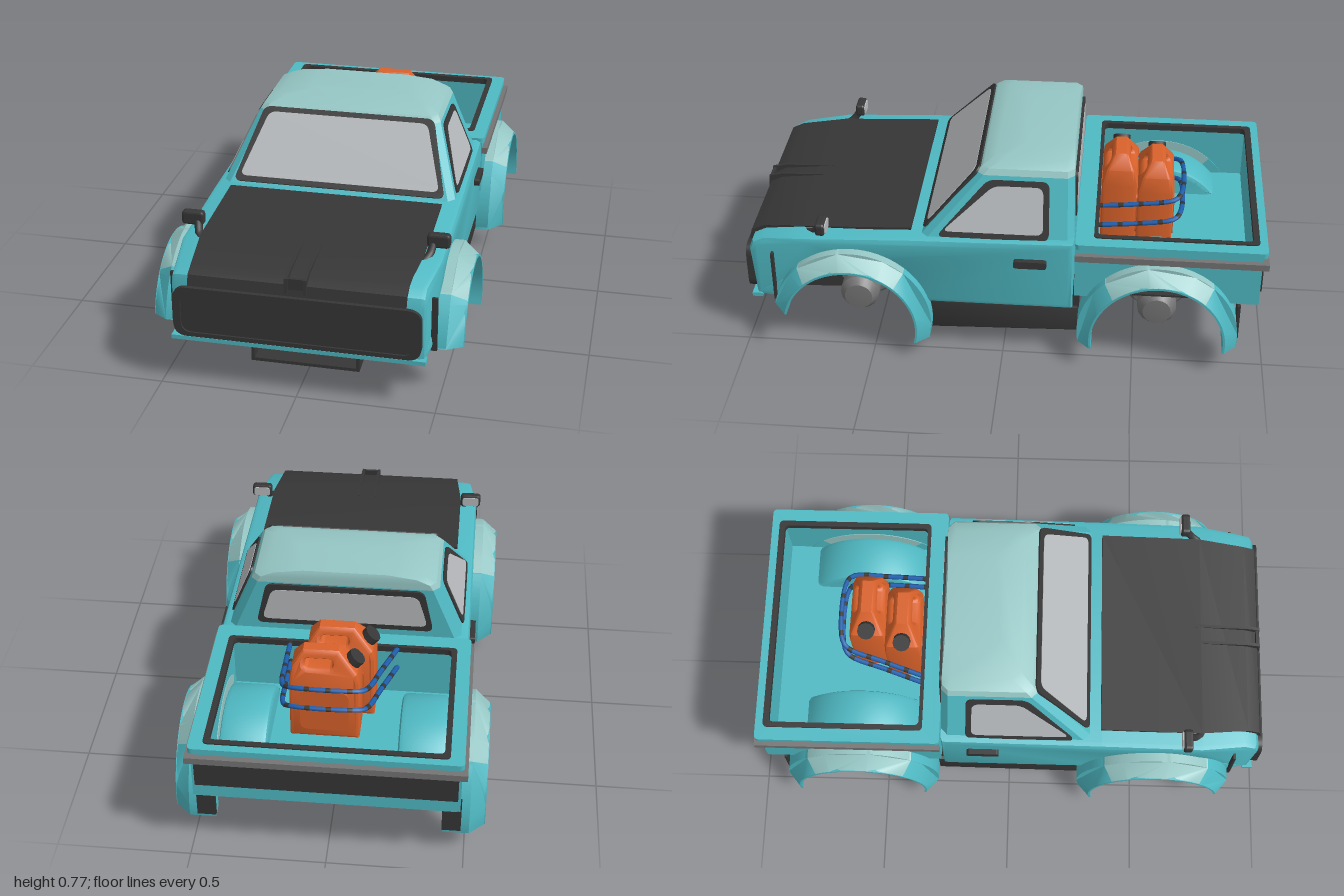
import * as THREE from 'three';
import { toCreasedNormals } from 'three/addons/utils/BufferGeometryUtils.js';

const paint = (name, color) => Object.assign(new THREE.MeshStandardMaterial({ color }), { name });

export function createModel() {
  const truck = new THREE.Group();
  truck.name = 'pickupTruck';
  const teal = paint('teal', 0x4fb9c3), pale = paint('paleTeal', 0x95c6c4), black = paint('black', 0x363636);
  const grey = paint('grey', 0x747474), glass = paint('glass', 0xb6b9bc);
  const orange = paint('orange', 0xd8612a), blue = paint('blue', 0x1f5fae);

  const add = (name, geo, mat) => {
    const mesh = new THREE.Mesh(geo, mat);
    mesh.name = name;
    truck.add(mesh);
    return mesh;
  };
  const box = (name, w, h, d, x, y, z, mat) => add(name, new THREE.BoxGeometry(w, h, d).translate(x, y, z), mat);
  const poly = pts => new THREE.Shape(pts.map(p => new THREE.Vector2(...p)));
  const rect = (x0, y0, x1, y1) => [[x0, y0], [x1, y0], [x1, y1], [x0, y1]];

  // Polygon with rounded corners
  const rounded = (pts, r) => {
    const v = pts.map(p => new THREE.Vector2(...p)), s = new THREE.Shape();
    v.forEach((p, i) => {
      const toward = q => p.clone().add(q.clone().sub(p).setLength(Math.min(r, q.distanceTo(p) / 2)));
      const a = toward(v[(i + v.length - 1) % v.length]), b = toward(v[(i + 1) % v.length]);
      i ? s.lineTo(a.x, a.y) : s.moveTo(a.x, a.y);
      s.quadraticCurveTo(p.x, p.y, b.x, b.y);
    });
    s.closePath();
    return s;
  };
  const extrude = (shape, depth, bevel = 0) => new THREE.ExtrudeGeometry(shape, {
    depth: depth - 2 * bevel, curveSegments: 20, bevelEnabled: bevel > 0,
    bevelSize: bevel, bevelThickness: bevel, bevelOffset: -bevel, bevelSegments: 2,
  }).translate(0, 0, bevel - depth / 2);
  const warp = (geo, rule) => {
    const p = geo.attributes.position, v = new THREE.Vector3();
    for (let i = 0; i < p.count; i++) {
      rule(v.fromBufferAttribute(p, i));
      p.setXYZ(i, v.x, v.y, v.z);
    }
    return geo;
  };
  // Side profile drawn as (z, y), widened along x
  const profile = (name, shape, width, x, mat, bevel = 0, rule = () => {}) => {
    const geo = extrude(shape, width, bevel).rotateY(-Math.PI / 2).translate(x, 0, 0);
    return add(name, toCreasedNormals(warp(geo, rule), 0.6), mat);
  };
  // Flat raised panel through coplanar corners, counter-clockwise from outside
  const panel = (name, corners, mat, lift, inset = 0, r = 0.03) => {
    const p = corners.map(c => new THREE.Vector3(...c));
    const u = p[1].clone().sub(p[0]).normalize();
    const n = u.clone().cross(p[2].clone().sub(p[0])).normalize(), v = n.clone().cross(u);
    const mid = p.reduce((a, b) => a.add(b), new THREE.Vector3()).divideScalar(p.length);
    const flat = p.map(q => {
      const d = q.clone().sub(mid), a = d.dot(u), b = d.dot(v);
      return [a - Math.sign(a) * inset, b - Math.sign(b) * inset];
    });
    const geo = extrude(rounded(flat, r), lift * 2);
    add(name, geo.applyMatrix4(new THREE.Matrix4().makeBasis(u, v, n).setPosition(mid)), mat);
  };
  const windowPane = (name, corners) => {
    panel(name + 'Frame', corners, black, 0.007);
    panel(name + 'Glass', corners, glass, 0.009, 0.022);
  };

  // Front body with open wheel arches
  const arch = { y: 0.13, r: 0.25, front: 0.58, rear: -0.59 };
  const hull = poly([[0.825, 0.18], [0.965, 0.18], [0.98, 0.39], [0.965, 0.43], [0.92, 0.452], [0.75, 0.472],
    [0.36, 0.488], [-0.265, 0.5], [-0.265, 0.2], [0.34, 0.2]]);
  hull.absarc(arch.front, arch.y, arch.r, Math.atan2(0.07, -0.24), Math.atan2(0.05, 0.245), true);
  profile('frontBody', hull, 0.96, 0, teal, 0.022, v => { if (v.z > 0.88) v.x *= 0.95; });

  // Bonnet with a raised central rib
  profile('bonnet', poly([[0.355, 0.48], [0.92, 0.44], [0.96, 0.40], [0.988, 0.40], [0.978, 0.44], [0.93, 0.463],
    [0.75, 0.482], [0.355, 0.498]]), 0.82, 0, black, 0, v => { if (v.z > 0.9) v.x *= 0.95; });
  for (const s of [-1, 1]) profile('bonnetRib', poly([[0.73, 0.475], [0.98, 0.405], [0.99, 0.41], [0.985, 0.465],
    [0.93, 0.478], [0.73, 0.484]]), 0.012, s * 0.034, black);
  box('bonnetScoop', 0.06, 0.06, 0.012, 0, 0.435, 0.976, black);

  // Grille surround and recessed panel
  const ring = rounded(rect(-0.445, 0.2, 0.445, 0.395), 0.05);
  ring.holes.push(rounded(rect(-0.418, 0.216, 0.418, 0.372), 0.04));
  add('grilleSurround', extrude(ring, 0.04).translate(0, 0, 0.975), black);
  add('grillePanel', extrude(rounded(rect(-0.43, 0.21, 0.43, 0.385), 0.05), 0.02).translate(0, 0, 0.978), black);
  box('frontLip', 0.92, 0.016, 0.04, 0, 0.183, 0.962, teal);

  // Cab: stacked rings of chamfered rectangles
  const loft = (name, rings, mat) => {
    const pos = [], tri = (...q) => q.forEach(p => pos.push(...p));
    const loops = rings.map(([y, x, zf, zb, c]) => [[x, zf - c], [x, zb + c], [x - c, zb], [c - x, zb],
      [-x, zb + c], [-x, zf - c], [c - x, zf], [x - c, zf]].map(([a, b]) => [a, y, b]));
    for (let i = 0; i + 1 < loops.length; i++) for (let j = 0; j < 8; j++) {
      const k = (j + 1) % 8, [lo, hi] = [loops[i], loops[i + 1]];
      tri(lo[j], lo[k], hi[k]);
      tri(lo[j], hi[k], hi[j]);
    }
    const top = loops.at(-1);
    for (let j = 1; j < 7; j++) tri(top[0], top[j], top[j + 1]);
    const geo = new THREE.BufferGeometry().setAttribute('position', new THREE.Float32BufferAttribute(pos, 3));
    add(name, toCreasedNormals(geo, 0.5), mat);
  };
  const eaves = [0.715, 0.358, 0.108, -0.258, 0.025];
  loft('cab', [[0.48, 0.455, 0.32, -0.265, 0.025], eaves], teal);
  loft('roof', [eaves, [0.737, 0.345, 0.088, -0.257, 0.025], [0.758, 0.3, 0.04, -0.255, 0.03],
    [0.77, 0.19, -0.04, -0.25, 0.03]], pale);

  // Windows
  const shieldZ = y => 0.32 - (y - 0.48) * 0.902, sideX = y => 0.455 - (y - 0.48) * 0.4128;
  windowPane('windscreen', [[-0.412, 0.495], [0.412, 0.495], [0.335, 0.728], [-0.335, 0.728]]
    .map(([x, y]) => [x, y, shieldZ(y)]));
  windowPane('rearWindow', [[0.34, 0.53], [-0.34, 0.53], [-0.3, 0.71], [0.3, 0.71]].map(([x, y]) => [x, y, -0.2615]));
  for (const s of [-1, 1]) {
    const pts = [[0.255, 0.492], [-0.17, 0.492], [-0.165, 0.7], [0.065, 0.7]].map(([z, y]) => [s * sideX(y), y, z]);
    windowPane('sideWindow', s > 0 ? pts : pts.reverse());
  }

  // Load bed
  const bedSide = poly([[-0.965, 0.27], [-0.59 - 0.207, 0.27]]);
  bedSide.absarc(arch.rear, arch.y, arch.r, Math.atan2(0.14, -0.207), Math.atan2(0.14, 0.207), true);
  [[-0.27, 0.27], [-0.27, 0.49], [-0.965, 0.49]].forEach(p => bedSide.lineTo(...p));
  box('bedFloor', 0.86, 0.012, 0.68, 0, 0.284, -0.62, teal);
  box('bedUnderside', 0.92, 0.008, 0.68, 0, 0.274, -0.62, black);
  box('bedFrontWall', 0.94, 0.22, 0.07, 0, 0.38, -0.31, teal);
  box('tailgate', 0.94, 0.22, 0.035, 0, 0.38, -0.95, teal);
  box('tailgatePanel', 0.94, 0.12, 0.008, 0, 0.385, -0.969, black);
  box('bedRailRear', 1.0, 0.026, 0.03, 0, 0.453, -0.975, grey);
  const frame = (name, o, i, y, h, mat) => {
    const s = rounded(rect(...o), 0.02);
    s.holes.push(rounded(rect(...i), 0.02));
    add(name, extrude(s, h).rotateX(-Math.PI / 2).translate(0, y, 0), mat);
  };
  // Frame outlines use -z as the second coordinate
  frame('bedLip', [-0.487, 0.27, 0.487, 0.985], [-0.43, 0.35, 0.43, 0.945], 0.496, 0.022, teal);
  frame('bedRimTrim', [-0.436, 0.338, 0.436, 0.955], [-0.415, 0.352, 0.415, 0.932], 0.5, 0.024, black);

  // Wheel arch flares: the outer edge falls back towards the body
  const flare = (name, s, zc, r0, r1, from, to, mat) => {
    const a = THREE.MathUtils.degToRad(from), b = THREE.MathUtils.degToRad(to), sh = new THREE.Shape();
    sh.absarc(zc, arch.y, r1, a, b, false);
    sh.absarc(zc, arch.y, r0, b, a, true);
    profile(name, sh, 0.155, s * 0.495, mat, 0, v => {
      const d = Math.hypot(v.z - zc, v.y - arch.y);
      if (s * v.x > 0.5 && d > 0.28) v.x = s * 0.515;
    });
  };
  for (const s of [-1, 1]) {
    profile('bedSide', bedSide, 0.06, s * 0.45, teal);
    box('bedRail', 0.022, 0.026, 0.72, s * 0.489, 0.453, -0.63, grey);
    const well = new THREE.Shape();
    well.absarc(arch.rear, arch.y, 0.275, 0.62, Math.PI - 0.62, false);
    profile('bedWheelHousing', well, 0.18, s * 0.33, teal, 0.02);
    for (const [zc, from, to] of [[arch.front, 11, 193], [arch.rear, -9, 187]]) {
      flare('archLiner', s, zc, 0.25, 0.258, from, to, teal);
      flare('archFlare', s, zc, 0.256, 0.305, from, 48, teal);
      flare('archFlareTop', s, zc, 0.256, 0.305, 48, 132, pale);
      flare('archFlare', s, zc, 0.256, 0.305, 132, to, teal);
    }
    box('mudFlap', 0.07, 0.15, 0.012, s * 0.45, 0.185, -0.895, black);
    box('frontCornerTrim', 0.025, 0.21, 0.01, s * 0.472, 0.29, 0.885, black);

    // Door handle
    add('doorHandle', extrude(rounded(rect(-0.165, 0.397, -0.04, 0.427), 0.012), 0.03)
      .rotateY(-Math.PI / 2).translate(s * 0.486, 0, 0), black);

    // Wing mirror on a curved stalk
    add('mirrorStalk', new THREE.TubeGeometry(new THREE.CatmullRomCurve3([[0.405, 0.455, 0.76], [0.425, 0.475, 0.72],
      [0.435, 0.515, 0.69]].map(([x, y, z]) => new THREE.Vector3(s * x, y, z))), 6, 0.015, 8), black);
    add('mirrorHousing', extrude(rounded(rect(-0.042, -0.026, 0.042, 0.026), 0.016), 0.035, 0.008)
      .translate(s * 0.453, 0.519, 0.69), black);
    add('mirrorGlass', extrude(rounded(rect(-0.034, -0.019, 0.034, 0.019), 0.012), 0.006)
      .translate(s * 0.453, 0.519, 0.671), glass);

    // Open-fronted engine bay sides
    profile('engineBaySide', poly([[0.3, 0.07], [0.86, 0.045], [0.86, 0.2], [0.82, 0.385], [0.3, 0.385]]), 0.012, s * 0.195, black);
  }

  // Underbody
  profile('skidPlate', poly([[0.28, 0.068], [0.86, 0.044], [0.86, 0.056], [0.28, 0.08]]), 0.4, 0, black);
  profile('sillAndFloor', poly([[-0.285, 0.09], [0.3, 0.072], [0.31, 0.2], [-0.285, 0.2]]), 0.93, 0, black, 0.01);
  box('cabRearLower', 0.9, 0.08, 0.03, 0, 0.235, -0.275, black);

  // Axles with wide centre housings
  const half = [[0.14, 0.165], [0.115, 0.2], [0.076, 0.205], [0.076, 0.355], [0.055, 0.385], [0, 0.39]];
  const axlePts = [...half.map(([r, x]) => [r, -x]).reverse(), ...half].map(p => new THREE.Vector2(...p));
  for (const z of [arch.front, arch.rear]) {
    const geo = new THREE.LatheGeometry(axlePts, 16).rotateZ(-Math.PI / 2).translate(0, 0.14, z);
    add('axle', toCreasedNormals(geo, 0.5), grey);
  }

  // Fuel cans with handle slot, ribs and cap
  for (const [x, z] of [[-0.005, -0.425], [0.04, -0.565]]) {
    const can = poly([[-0.13, 0], [0.13, 0], [0.13, 0.26], [0.12, 0.32], [0.08, 0.375], [-0.05, 0.375], [-0.12, 0.3], [-0.13, 0.26]]);
    can.holes.push(rounded(rect(-0.03, 0.315, 0.075, 0.345), 0.015));
    const geo = warp(extrude(can, 0.14, 0.014), v => { if (v.y > 0.29) v.z *= 1 - (v.y - 0.29) * 7.5; });
    add('fuelCan', toCreasedNormals(geo, 0.5).translate(x, 0.288, z), orange);
    for (const s of [-1, 1]) add('fuelCanRib', extrude(rounded(rect(-0.09, 0.04, 0.09, 0.22), 0.03), 0.008)
      .translate(x, 0.288, z + s * 0.071), orange);
    add('fuelCanCap', new THREE.CylinderGeometry(0.034, 0.034, 0.04, 12).rotateZ(0.7).translate(x - 0.105, 0.615, z), black);
  }

  // Two striped straps tied to the front of the bed
  for (const drop of [0, 0.09]) {
    const pts = [[-0.21, 0.5, -0.345], [-0.16, 0.515, -0.5], [-0.115, 0.535, -0.64], [-0.08, 0.545, -0.665],
      [0.15, 0.545, -0.665], [0.19, 0.535, -0.64], [0.2, 0.515, -0.5], [0.2, 0.5, -0.345]];
    const path = new THREE.CatmullRomCurve3(pts.map(([x, y, z]) => new THREE.Vector3(x, y - drop, z)), false, 'centripetal');
    const geo = new THREE.TubeGeometry(path, 48, 0.01, 6);
    for (let i = 0; i < 48; i++) geo.addGroup(i * 36, 36, i % 4 === 3 ? 1 : 0);
    add('strap', geo, [blue, black]);
  }
  return truck;
}
